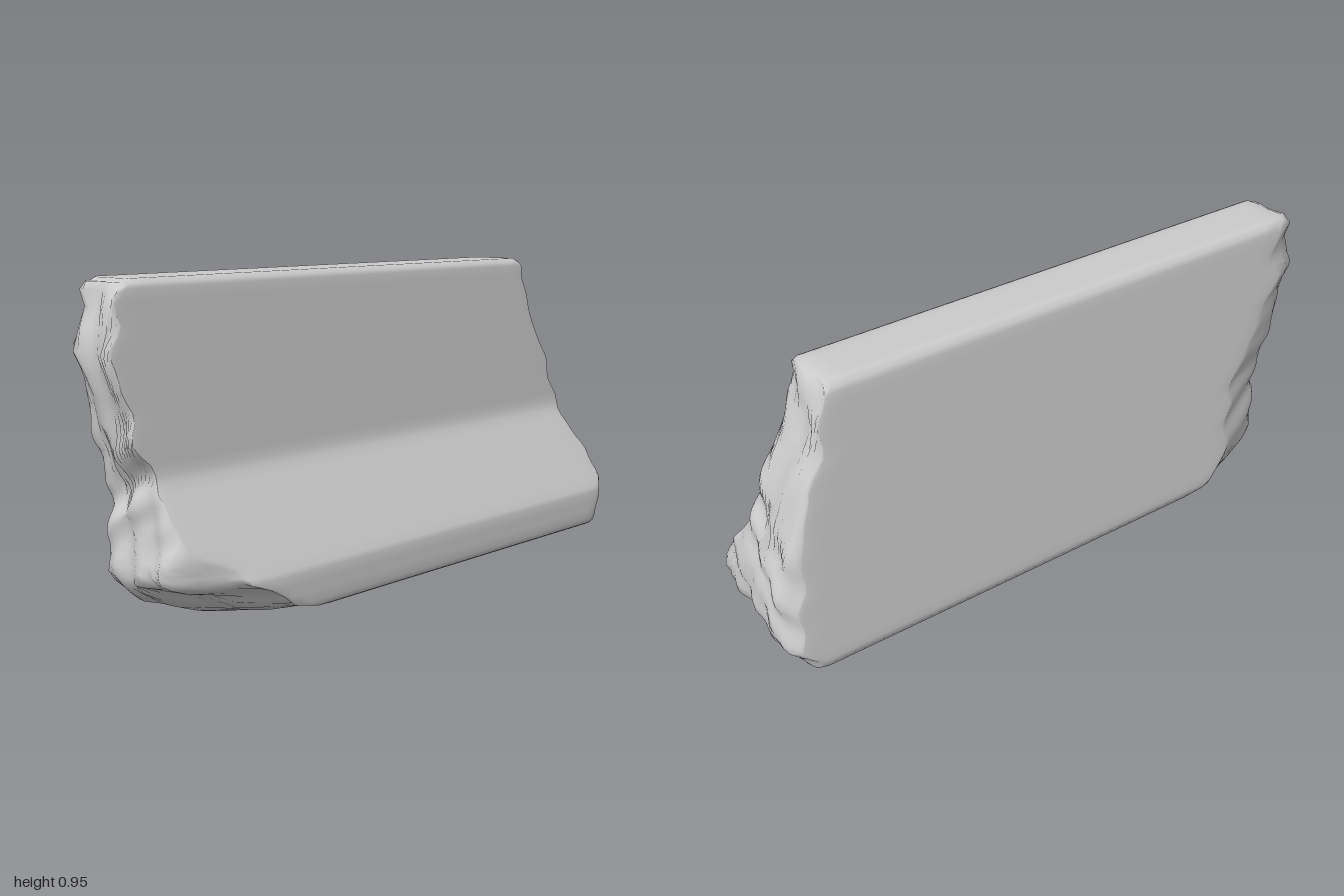
import * as THREE from 'three';

// Barrier cross-section as [z, y], from the front foot over the top to the back foot
const PROFILE = [
  [0.235, 0], [0.257, 0.012], [0.262, 0.03], [0.257, 0.12], [0.25, 0.135], [0.068, 0.4], [0.059, 0.425],
  [0.012, 0.925], [0.007, 0.938], [-0.012, 0.95], [-0.163, 0.95], [-0.18, 0.938],
  [-0.185, 0.92], [-0.262, 0.05], [-0.26, 0.03], [-0.248, 0.008], [-0.235, 0],
];
// Broken end outlines as [y, x]
const LEFT_END = [[0, -0.74], [0.03, -0.84], [0.1, -0.91], [0.13, -0.92], [0.25, -0.9], [0.4, -0.89],
  [0.5, -0.94], [0.62, -0.955], [0.76, -1], [0.84, -0.965], [0.92, -0.97], [0.95, -0.95]];
const RIGHT_END = [[0, 0.935], [0.05, 0.95], [0.1, 0.99], [0.26, 0.975], [0.36, 0.95], [0.44, 0.93],
  [0.52, 0.905], [0.58, 0.89], [0.65, 0.865], [0.72, 0.825], [0.8, 0.8], [0.95, 0.77]];
const CENTRE = [-0.06, 0.3];

const smooth = THREE.MathUtils.smoothstep;

function sample(table, y) {
  let i = 1;
  while (i < table.length - 1 && y > table[i][0]) i++;
  const [y0, x0] = table[i - 1], [y1, x1] = table[i];
  return x0 + (x1 - x0) * THREE.MathUtils.clamp((y - y0) / (y1 - y0), 0, 1);
}

// Lumpy fracture depth, always inward
function rubble(y, z, phase) {
  const n = Math.sin(y * 23 + z * 17 + phase) * Math.sin(z * 37 - y * 11 + phase * 2)
    + 0.5 * Math.sin(y * 47 - z * 31 + phase);
  return 0.014 * (n + 1.5);
}

// s is 0 in the middle of the broken face and 1 on its rim
function leftX(y, z, s) {
  const backChip = 0.2 * smooth(-z, 0.14, 0.262);
  const frontChip = 0.2 * smooth(z, 0.16, 0.26);
  const footChip = 0.16 * smooth(z, 0, 0.2) * (1 - smooth(y, 0.08, 0.13)) * (1 - smooth(z, 0.2, 0.3));
  return sample(LEFT_END, y) + rubble(y, z, 1) + backChip + frontChip + footChip + 0.02 * s ** 6;
}

function rightX(y, z, s) {
  return sample(RIGHT_END, y) - 0.7 * rubble(y, z, 4) - 0.02 * s ** 6
    - 0.035 * smooth(Math.abs(z), 0.19, 0.262);
}

// Split the long profile edges so that the broken rims can vary along them
function outline() {
  const points = [];
  PROFILE.forEach(([z, y], i) => {
    const [z1, y1] = PROFILE[(i + 1) % PROFILE.length];
    const steps = Math.max(1, Math.round(Math.hypot(z1 - z, y1 - y) / 0.03));
    for (let k = 0; k < steps; k++) points.push([z + (z1 - z) * k / steps, y + (y1 - y) * k / steps]);
  });
  return points;
}

function barrierGeometry() {
  const ring = outline(), n = ring.length;
  const caps = [0, 0.1, 0.2, 0.3, 0.4, 0.5, 0.6, 0.7, 0.8, 0.88, 0.95, 0.985];
  const body = [0, 0.012, 0.04, 0.08, 0.15, 0.25, 0.35, 0.45, 0.55, 0.65, 0.75, 0.85, 0.92, 0.96, 0.988, 1];
  // Rings run from the middle of one end, along the body, to the middle of the other
  const rings = [
    ...caps.map((s) => ({ s, t: 0 })),
    ...body.map((t) => ({ s: 1, t })),
    ...caps.slice().reverse().map((s) => ({ s, t: 1 })),
  ];
  const positions = [], index = [];
  for (const { s, t } of rings) {
    for (const [pz, py] of ring) {
      const z = CENTRE[0] + (pz - CENTRE[0]) * s, y = CENTRE[1] + (py - CENTRE[1]) * s;
      const x = THREE.MathUtils.lerp(leftX(y, z, s), rightX(y, z, s), t);
      // Slight wear at the rims of the broken ends
      const wear = s === 1 && (t === 0 || t === 1) ? 0.985 : 1;
      positions.push(x, CENTRE[1] + (y - CENTRE[1]) * wear, CENTRE[0] + (z - CENTRE[0]) * wear);
    }
  }
  for (let i = 0; i < rings.length - 1; i++) {
    for (let j = 0; j < n; j++) {
      const k = (j + 1) % n;
      const a = i * n + j, b = a + n, c = (i + 1) * n + k, d = i * n + k;
      index.push(a, b, c, a, c, d);
    }
  }
  const geometry = new THREE.BufferGeometry();
  geometry.setAttribute('position', new THREE.Float32BufferAttribute(positions, 3));
  geometry.setIndex(index);
  geometry.computeVertexNormals();
  return geometry;
}

export function createModel() {
  const group = new THREE.Group();
  group.name = 'brokenConcreteBarrier';
  const barrier = new THREE.Mesh(barrierGeometry(), new THREE.MeshStandardMaterial({ color: 0xcccccc }));
  barrier.name = 'barrierBlock';
  group.add(barrier);
  return group;
}
